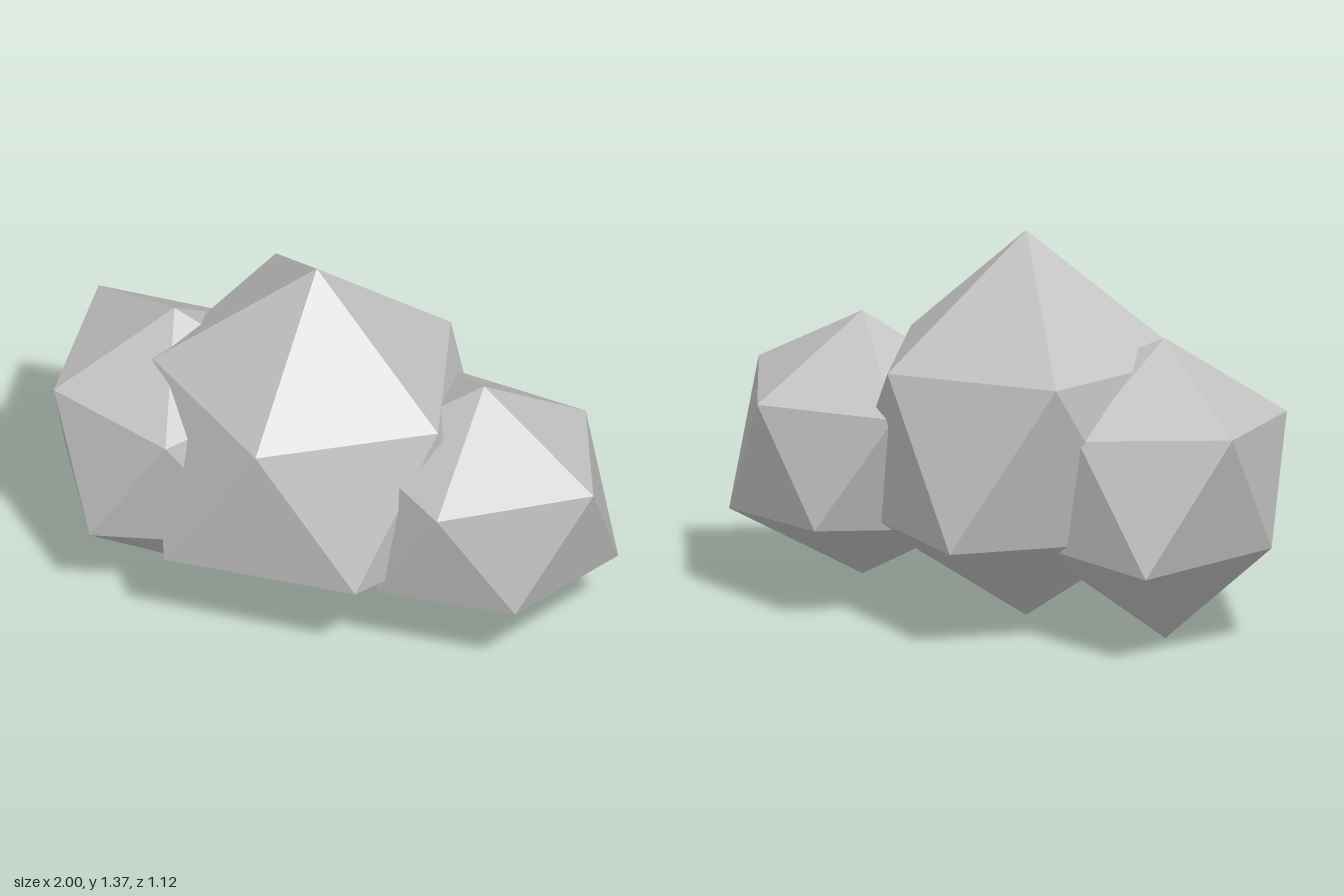
import * as THREE from 'three';

const stone = new THREE.MeshStandardMaterial({ color: 0xc4c4c4 });
stone.name = 'light grey stone';
stone.flatShading = true;

// A rough twenty-sided boulder: top point, five upper and five lower corners, bottom point.
// Each lower corner i sits between upper corners i and i + 1.
function boulder(name, top, upper, lower, bottom) {
  const positions = [];
  const face = (...corners) => corners.forEach((c) => positions.push(...c));
  for (let i = 0; i < 5; i++) {
    const j = (i + 1) % 5;
    face(top, upper[j], upper[i]);
    face(upper[i], upper[j], lower[i]);
    face(lower[i], upper[j], lower[j]);
    face(bottom, lower[i], lower[j]);
  }
  const geometry = new THREE.BufferGeometry();
  geometry.setAttribute('position', new THREE.Float32BufferAttribute(positions, 3));
  geometry.computeVertexNormals();
  const mesh = new THREE.Mesh(geometry, stone);
  mesh.name = name;
  return mesh;
}

export function createModel() {
  const group = new THREE.Group();
  group.name = 'rockCluster';

  // Tall boulder in the middle
  group.add(boulder('middleBoulder',
    [-0.045, 1.365, 0.01],
    [[0.485, 0.93, 0.07], [0.05, 0.93, 0.525], [-0.535, 0.94, 0.27], [-0.49, 0.97, -0.41], [0.18, 0.93, -0.465]],
    [[0.36, 0.395, 0.385], [-0.30, 0.37, 0.555], [-0.58, 0.38, -0.05], [-0.155, 0.375, -0.56], [0.54, 0.365, -0.24]],
    [-0.045, 0.02, 0.01]));

  // Boulder on the -x side
  group.add(boulder('rightBoulder',
    [-0.55, 1.05, 0.115],
    [[-0.10, 0.83, 0.0], [-0.33, 0.79, 0.50], [-0.835, 0.775, 0.42], [-1.0, 0.815, -0.10], [-0.495, 0.77, -0.295]],
    [[-0.11, 0.33, 0.27], [-0.60, 0.345, 0.555], [-0.945, 0.365, 0.19], [-0.785, 0.335, -0.30], [-0.24, 0.35, -0.22]],
    [-0.55, 0.0, 0.12]));

  // Small boulder on the +x side
  group.add(boulder('leftBoulder',
    [0.535, 1.02, -0.135],
    [[1.0, 0.775, -0.10], [0.63, 0.76, 0.295], [0.16, 0.75, 0.09], [0.18, 0.76, -0.43], [0.695, 0.745, -0.51]],
    [[0.83, 0.34, 0.12], [0.37, 0.33, 0.26], [0.12, 0.33, -0.16], [0.45, 0.345, -0.515], [0.92, 0.315, -0.37]],
    [0.535, 0.10, -0.135]));

  return group;
}
